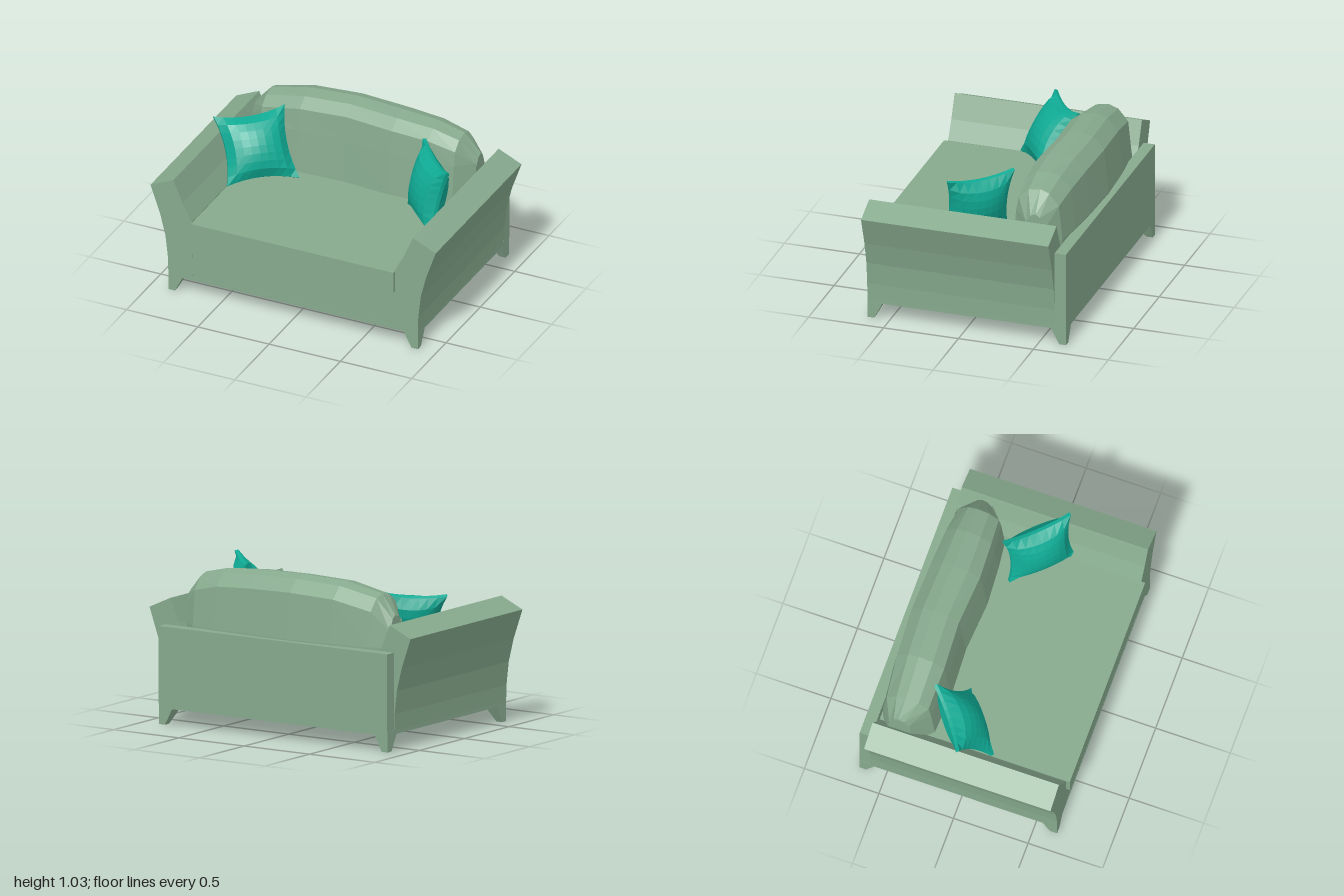
import * as THREE from 'three';

const fabric = new THREE.MeshStandardMaterial({ color: 0x86a98d });
fabric.name = 'sage fabric';
const teal = new THREE.MeshStandardMaterial({ color: 0x0faa94 });
teal.name = 'teal fabric';

function mesh(name, geometry, material) {
  const m = new THREE.Mesh(geometry, material);
  m.name = name;
  return m;
}

// Box given by its minimum and maximum corners
function block(name, [x0, y0, z0], [x1, y1, z1]) {
  const g = new THREE.BoxGeometry(x1 - x0, y1 - y0, z1 - z0);
  g.translate((x0 + x1) / 2, (y0 + y1) / 2, (z0 + z1) / 2);
  return mesh(name, g, fabric);
}

function faceted(g) {
  const flat = g.index ? g.toNonIndexed() : g;
  flat.computeVertexNormals();
  return flat;
}

// Flared arm, extruded from front to back
function arm(name, side) {
  const profile = [
    [0.7, 0.13], [0.875, 0.13], [0.878, 0.235], [0.895, 0.385], [0.932, 0.535],
    [1, 0.73], [0.84, 0.803], [0.775, 0.65], [0.71, 0.53],
  ];
  const shape = new THREE.Shape(profile.map(([x, y]) => new THREE.Vector2(side * x, y)));
  const g = new THREE.ExtrudeGeometry(shape, { depth: 1.25, bevelEnabled: false });
  g.translate(0, 0, -0.6);
  return mesh(name, g, fabric);
}

// Leg that tapers toward its outer corner
function leg(name, sx, outerZ) {
  const g = new THREE.BoxGeometry(1, 1, 1);
  const p = g.attributes.position;
  const sz = Math.sign(outerZ);
  for (let i = 0; i < p.count; i++) {
    const low = p.getY(i) < 0;
    const width = low ? 0.045 : 0.1;
    const dx = p.getX(i) * sx > 0 ? 0 : width;
    const dz = p.getZ(i) * sz > 0 ? 0 : width;
    p.setXYZ(i, sx * (0.875 - dx), low ? 0 : 0.106, outerZ - sz * dz);
  }
  return mesh(name, faceted(g), fabric);
}

// Rounded back cushion, lofted through sections along x
function backCushion() {
  // x, front z, back z, top y
  const sections = [
    [-0.78, -0.36, -0.52, 0.84], [-0.67, -0.24, -0.59, 0.965], [-0.4, -0.225, -0.62, 1.02],
    [-0.08, -0.24, -0.635, 1.033], [0.25, -0.215, -0.625, 1.025], [0.5, -0.23, -0.61, 1.008],
    [0.68, -0.25, -0.585, 0.965], [0.79, -0.36, -0.51, 0.84],
  ];
  const pos = [];
  const index = [];
  for (const [x, f, b, top] of sections) {
    const d = f - b;
    const ring = [
      [f, 0.5], [f - 0.08 * d, 0.8], [f - 0.13 * d, top - 0.07], [f - 0.32 * d, top - 0.015],
      [f - 0.56 * d, top], [f - 0.74 * d, top - 0.022], [f - 0.93 * d, top - 0.1], [b, 0.64], [b, 0.5],
    ];
    for (const [z, y] of ring) pos.push(x, y, z);
  }
  const n = 9;
  const last = (sections.length - 1) * n;
  for (let s = 0; s < last; s += n) {
    for (let j = 0; j < n; j++) {
      const k = (j + 1) % n;
      index.push(s + j, s + n + j, s + k, s + n + j, s + n + k, s + k);
    }
  }
  for (let j = 1; j < n - 1; j++) {
    index.push(0, j, j + 1, last, last + j + 1, last + j);
  }
  const g = new THREE.BufferGeometry();
  g.setAttribute('position', new THREE.Float32BufferAttribute(pos, 3));
  g.setIndex(index);
  return mesh('backCushion', faceted(g), fabric);
}

// Plump pillow with pinched edges, stretched between four corners
function pillow(name, corners, half) {
  const [tl, tr, br, bl] = corners.map((c) => new THREE.Vector3(...c));
  const normal = tr.clone().sub(bl).cross(tl.clone().sub(br)).normalize();
  const g = new THREE.BoxGeometry(2, 2, 2, 8, 8, 1);
  const p = g.attributes.position;
  const top = new THREE.Vector3();
  const v3 = new THREE.Vector3();
  for (let i = 0; i < p.count; i++) {
    const u = p.getX(i);
    const v = p.getY(i);
    const pu = u * (1 - 0.15 * (1 - v * v));
    const pv = v * (1 - 0.15 * (1 - u * u));
    top.lerpVectors(tl, tr, (pu + 1) / 2);
    v3.lerpVectors(bl, br, (pu + 1) / 2).lerp(top, (pv + 1) / 2);
    const puff = 0.012 + half * Math.pow((1 - u * u) * (1 - v * v), 0.6);
    v3.addScaledVector(normal, Math.sign(p.getZ(i)) * puff);
    p.setXYZ(i, v3.x, v3.y, v3.z);
  }
  return mesh(name, faceted(g), teal);
}

export function createModel() {
  const sofa = new THREE.Group();
  sofa.name = 'sofa';

  // Frame
  sofa.add(
    block('baseRail', [-0.875, 0.105, -0.675], [0.875, 0.131, 0.65]),
    block('base', [-0.71, 0.13, -0.6], [0.71, 0.385, 0.649]),
    block('backPanel', [-0.872, 0.13, -0.675], [0.878, 0.63, -0.6]),
    block('rearDeck', [-0.71, 0.38, -0.6], [0.71, 0.52, -0.2]),
    arm('leftArm', 1),
    arm('rightArm', -1),
  );
  for (const [side, sx] of [['Left', 1], ['Right', -1]]) {
    sofa.add(leg('front' + side + 'Leg', sx, 0.65), leg('back' + side + 'Leg', sx, -0.675));
  }

  // Cushions
  sofa.add(
    block('seatCushion', [-0.706, 0.386, -0.2], [0.716, 0.53, 0.675]),
    backCushion(),
    pillow('rightPillow', [
      [-0.88, 0.91, -0.015], [-0.515, 0.945, -0.295], [-0.33, 0.54, -0.13], [-0.7, 0.535, 0.155],
    ], 0.1),
    pillow('leftPillow', [
      [0.51, 1, -0.205], [0.835, 1, 0.13], [0.75, 0.535, 0.195], [0.435, 0.54, -0.14],
    ], 0.095),
  );
  return sofa;
}
